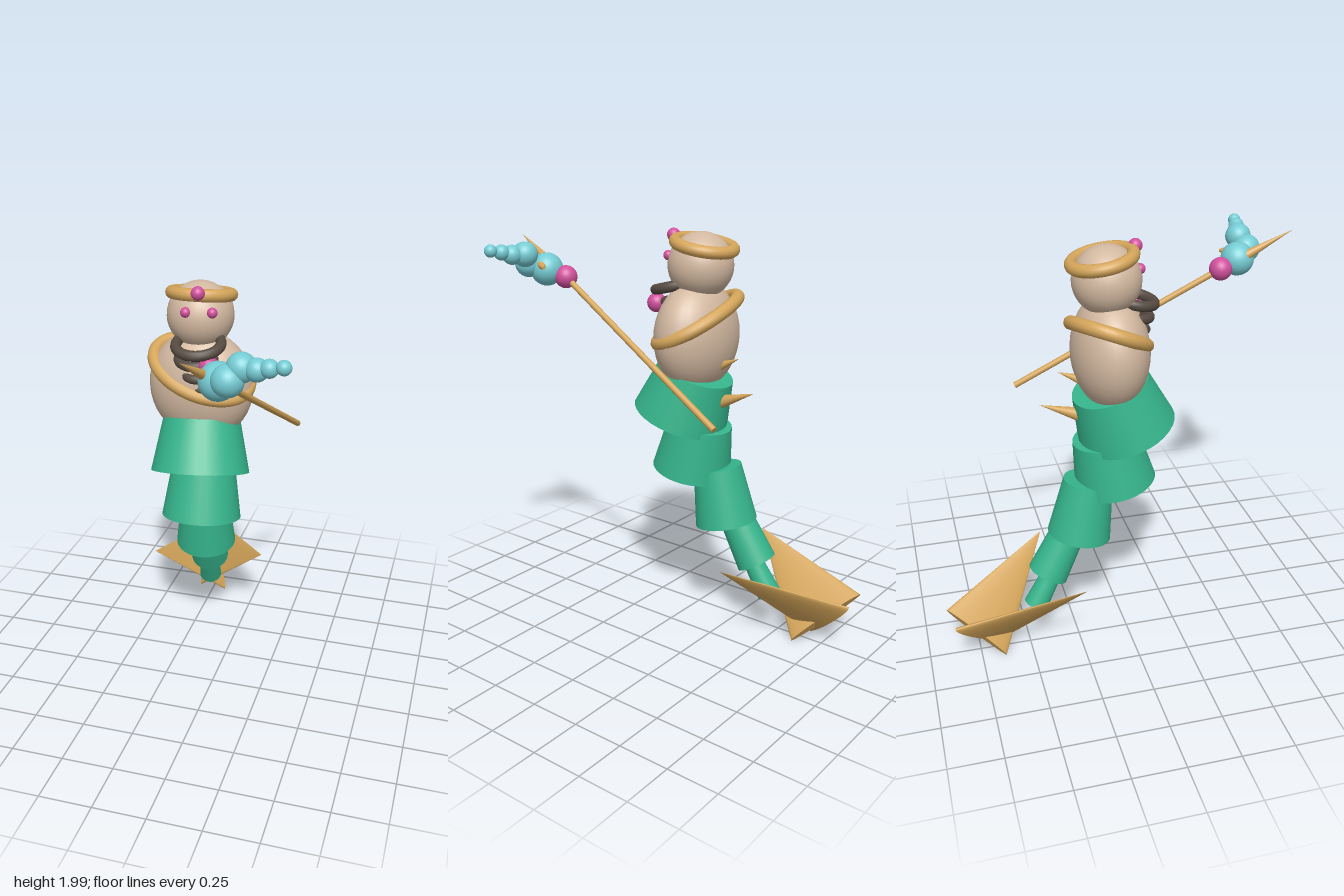
import * as THREE from 'three';

const mat = (name, color) => {
  const m = new THREE.MeshStandardMaterial({ color });
  m.name = name;
  return m;
};
const V = (p) => new THREE.Vector3(...p);
const UP = new THREE.Vector3(0, 1, 0);

export function createModel() {
  const group = new THREE.Group();
  const skin = mat('skin', 0xd2b8a0);
  const gold = mat('gold', 0xd4a55a);
  const green = mat('seaGreen', 0x36b58c);
  const pink = mat('pink', 0xd0509c);
  const dark = mat('darkBrown', 0x564b42);
  const blue = mat('paleBlue', 0x76cbd3);

  const add = (name, geometry, material, pos = [0, 0, 0]) => {
    const mesh = new THREE.Mesh(geometry, material);
    mesh.name = name;
    mesh.position.set(...pos);
    group.add(mesh);
    return mesh;
  };
  const ball = (name, material, pos, r) =>
    add(name, new THREE.SphereGeometry(r, 32, 20), material, pos);

  // Truncated cone running from a bottom centre to a top centre
  const cone = (name, material, from, to, rFrom, rTo) => {
    const a = V(from), b = V(to), dir = b.clone().sub(a);
    const geo = new THREE.CylinderGeometry(rTo, rFrom, dir.length(), 32);
    const mesh = add(name, geo, material, a.add(b).multiplyScalar(0.5).toArray());
    mesh.quaternion.setFromUnitVectors(UP, dir.normalize());
    return mesh;
  };

  // Horizontal ring, pitched about x (positive lowers the front)
  const ring = (name, material, pos, R, r, pitch) =>
    add(name, new THREE.TorusGeometry(R, r, 12, 48).rotateX(Math.PI / 2 + pitch), material, pos);

  // Head, headband, jewel and eyes
  ball('head', skin, [-0.14, 1.84, -0.07], 0.158);
  ring('headband', gold, [-0.14, 1.935, -0.09], 0.139, 0.03, -0.18);
  ball('headJewel', pink, [-0.11, 1.975, 0.068], 0.032);
  ball('rightEye', pink, [-0.167, 1.886, 0.075], 0.024);
  ball('leftEye', pink, [-0.048, 1.886, 0.052], 0.024);

  // Torso
  ball('torso', skin, [-0.135, 1.5, -0.055], 1).scale.set(0.254, 0.27, 0.18);

  // Slanting sash around the torso
  const sashPoints = [];
  for (let i = 0; i < 24; i++) {
    const t = (i / 24) * Math.PI * 2, c = Math.cos(t), s = Math.sin(t);
    sashPoints.push(new THREE.Vector3(-0.133 + 0.23 * c, 1.58 - 0.072 * c - 0.07 * s, -0.06 + 0.168 * s));
  }
  const sashCurve = new THREE.CatmullRomCurve3(sashPoints, true);
  add('sash', new THREE.TubeGeometry(sashCurve, 64, 0.033, 12, true), gold);

  // Stacked collar rings on the chest
  [
    [[-0.115, 1.735, 0.052], 0.105, 0.025],
    [[-0.125, 1.67, 0.05], 0.084, 0.023],
    [[-0.115, 1.6, 0.06], 0.06, 0.021],
    [[-0.09, 1.54, 0.075], 0.035, 0.018],
  ].forEach(([pos, R, r]) => ring('collarRing', dark, pos, R, r, 0.24));
  ball('chestJewel', pink, [-0.045, 1.655, 0.12], 0.047);

  // Tail made of tapering flared segments: bottom, top, radii
  [
    [[-0.12, 1.087, 0.03], [-0.135, 1.33, -0.055], 0.24, 0.187],
    [[-0.135, 0.815, -0.03], [-0.135, 1.07, -0.08], 0.198, 0.158],
    [[-0.17, 0.566, -0.222], [-0.16, 0.85, -0.17], 0.155, 0.12],
    [[-0.2, 0.375, -0.39], [-0.18, 0.587, -0.278], 0.1, 0.085],
    [[-0.218, 0.21, -0.46], [-0.2, 0.365, -0.373], 0.06, 0.05],
  ].forEach(([a, b, ra, rb]) => cone('tailSegment', green, a, b, ra, rb));

  // Tail flukes: flattened cones from an apex to the two ends of the wide base
  const fluke = (name, apex, end1, end2) => {
    const a = V(apex), p = V(end1), q = V(end2);
    const centre = p.clone().add(q).multiplyScalar(0.5);
    const axis = a.clone().sub(centre);
    const wide = p.clone().sub(q).multiplyScalar(0.5);
    const thin = wide.clone().cross(axis).normalize().multiplyScalar(0.03);
    const geo = new THREE.ConeGeometry(1, 1, 32).translate(0, 0.5, 0);
    geo.applyMatrix4(new THREE.Matrix4().makeBasis(wide, axis, thin).setPosition(centre));
    geo.computeVertexNormals();
    add(name, geo, gold);
  };
  fluke('leftFluke', [0.1, 0.427, -0.37], [-0.23, 0.265, -0.9], [-0.33, 0.015, -0.635]);
  fluke('rightFluke', [-0.472, 0.43, -0.25], [-0.39, 0.265, -0.877], [-0.18, 0.015, -0.62]);

  // Spines on the back
  cone('backSpine', gold, [-0.135, 1.36, -0.17], [-0.135, 1.42, -0.3], 0.028, 0);
  cone('backSpine', gold, [-0.135, 1.19, -0.19], [-0.135, 1.265, -0.39], 0.035, 0);

  // Staff with a pink knob, a spear point and a side barb
  cone('staffShaft', gold, [0.262, 1.195, -0.44], [0.118, 1.757, 0.56], 0.015, 0.015);
  ball('staffKnob', pink, [0.118, 1.757, 0.56], 0.056);
  cone('spearPoint', gold, [0.112, 1.785, 0.62], [0.073, 1.938, 0.9], 0.03, 0);
  cone('sideBarb', gold, [0.19, 1.82, 0.66], [0.237, 1.81, 0.595], 0.03, 0.008);

  // Curling plume of shrinking balls
  [
    [0.152, 1.79, 0.655, 0.081],
    [0.21, 1.82, 0.72, 0.068],
    [0.258, 1.87, 0.695, 0.062],
    [0.325, 1.873, 0.715, 0.048],
    [0.378, 1.888, 0.73, 0.038],
    [0.437, 1.9, 0.742, 0.031],
  ].forEach(([x, y, z, r]) => ball('plumeBall', blue, [x, y, z], r));

  return group;
}
